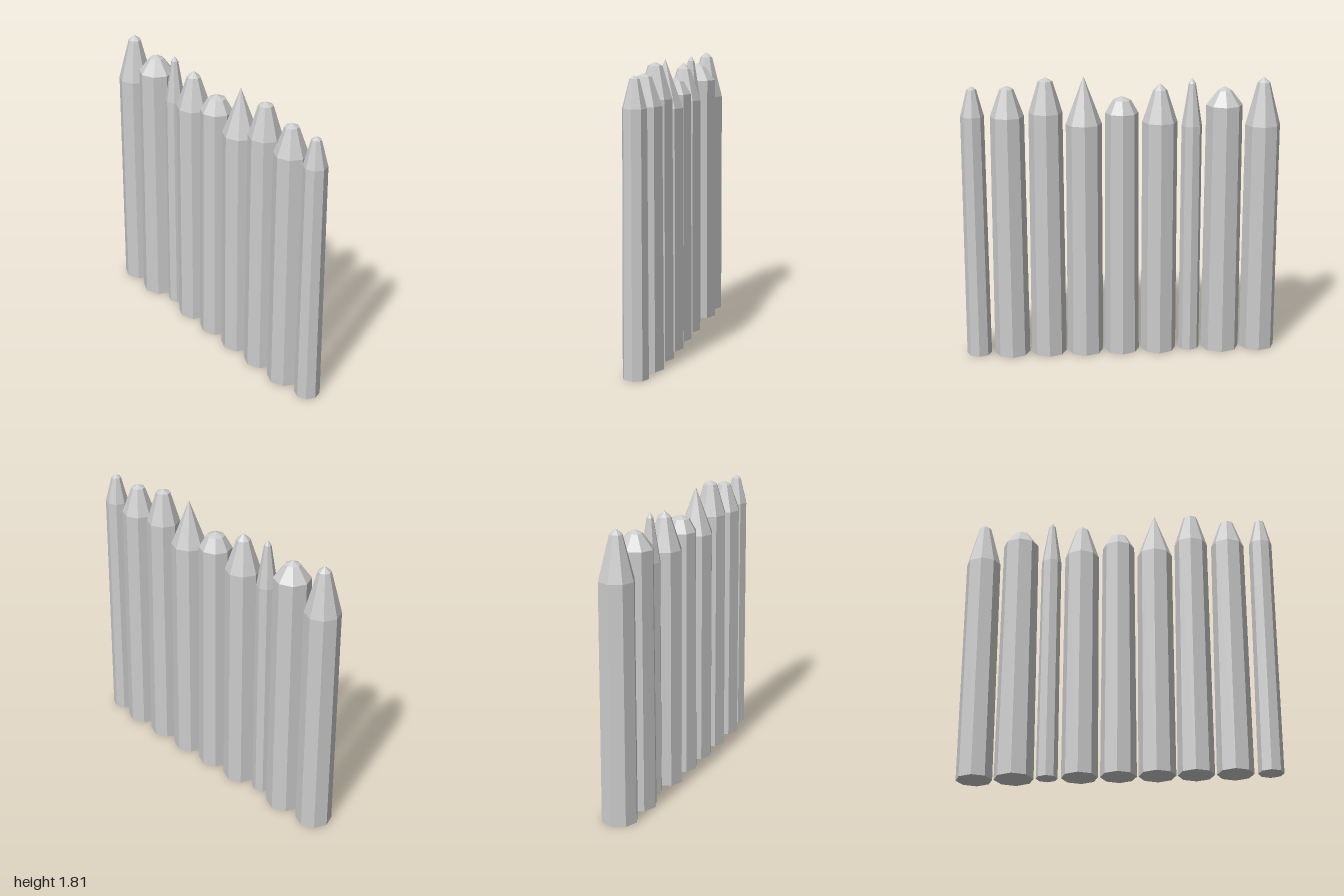
import * as THREE from 'three';

// Each stake: [x, base radius, shoulder radius, shoulder y, tip ring radius, tip ring y, apex y]
const STAKES = [
  [-0.887, 0.113, 0.11, 1.485, 0.04, 1.752, 1.785],
  [-0.643, 0.123, 0.114, 1.615, 0.045, 1.705, 1.728],
  [-0.44, 0.067, 0.064, 1.485, 0.022, 1.752, 1.785],
  [-0.24, 0.113, 0.11, 1.515, 0.043, 1.715, 1.755],
  [-0.002, 0.112, 0.103, 1.575, 0.057, 1.655, 1.678],
  [0.234, 0.115, 0.112, 1.51, 0, 1.808, 1.808],
  [0.47, 0.113, 0.105, 1.585, 0.045, 1.782, 1.803],
  [0.707, 0.113, 0.105, 1.565, 0.043, 1.735, 1.755],
  [0.921, 0.079, 0.073, 1.57, 0.03, 1.736, 1.755],
];

export function createModel() {
  const model = new THREE.Group();
  model.name = 'palisadeWall';
  const material = new THREE.MeshStandardMaterial({ color: 0xcccccc, flatShading: true });

  STAKES.forEach(([x, baseR, shoulderR, shoulderY, tipR, tipY, apexY], i) => {
    // Closed base, slightly tapered shaft, sharpened point, blunt tip
    const profile = [[0, 0], [baseR, 0], [shoulderR, shoulderY], [tipR, tipY]];
    if (tipR > 0) profile.push([0, apexY]);
    const points = profile.map(([r, y]) => new THREE.Vector2(r, y));
    const stake = new THREE.Mesh(new THREE.LatheGeometry(points, 8), material);
    stake.name = `stake${i + 1}`;
    stake.position.x = x;
    model.add(stake);
  });
  return model;
}
